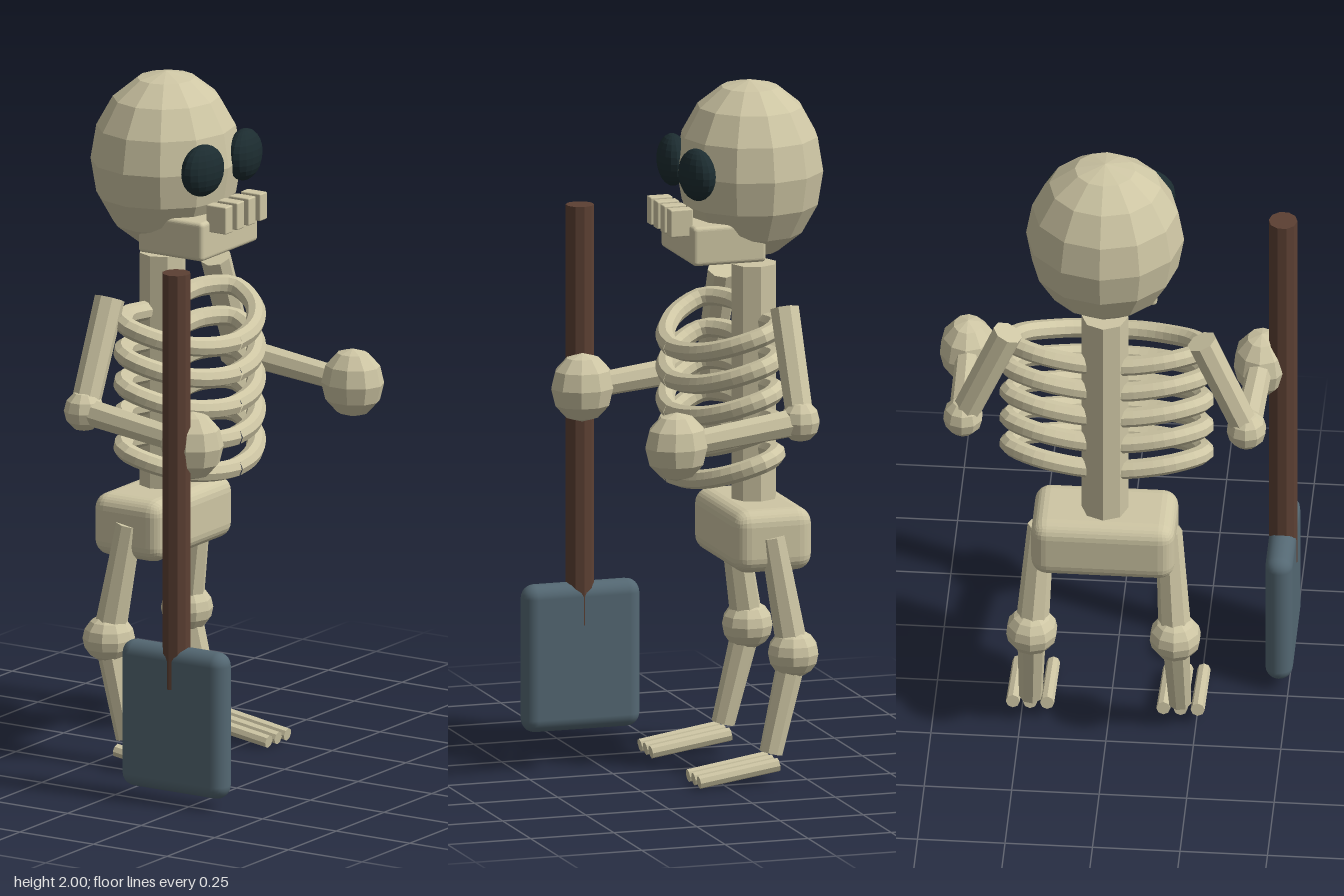
import * as THREE from 'three';
import { RoundedBoxGeometry } from 'three/addons/geometries/RoundedBoxGeometry.js';

const flat = (name, color) => {
  const m = new THREE.MeshStandardMaterial({ color, flatShading: true });
  m.name = name;
  return m;
};
const smooth = (name, color) => {
  const m = flat(name, color);
  m.flatShading = false;
  return m;
};

export function createModel() {
  const bone = flat('bone', 0xcec6a4);
  const socket = flat('dark socket', 0x1c2c30);
  const wood = flat('wood', 0x5c4033);
  const steel = smooth('steel', 0x546873);

  const model = new THREE.Group();
  model.name = 'skeletonWithShovel';
  // The body faces +x; its mirror plane sits slightly off centre
  const body = new THREE.Group();
  body.name = 'skeleton';
  body.position.z = -0.009;
  model.add(body);

  const add = (name, geo, mat, pos = [0, 0, 0], parent = body) => {
    const mesh = new THREE.Mesh(geo, mat);
    mesh.name = name;
    mesh.position.set(...pos);
    parent.add(mesh);
    return mesh;
  };
  const ball = (name, pos, [rx, ry, rz], seg = 10, rows = 6, mat = bone) =>
    add(name, new THREE.SphereGeometry(1, seg, rows).scale(rx, ry, rz), mat, pos);
  const box = (name, [w, h, d], r, pos, mat = bone, parent = body) =>
    add(name, new RoundedBoxGeometry(w, h, d, 3, r), mat, pos, parent);
  // Tapered cylinder running from a to b
  const limb = (name, a, b, ra, rb, sides = 8) => {
    const A = new THREE.Vector3(...a), B = new THREE.Vector3(...b);
    const dir = B.clone().sub(A);
    const mesh = add(name, new THREE.CylinderGeometry(rb, ra, dir.length(), sides), bone,
      A.clone().add(B).multiplyScalar(0.5).toArray());
    mesh.quaternion.setFromUnitVectors(new THREE.Vector3(0, 1, 0), dir.normalize());
    return mesh;
  };

  // Head
  ball('skull', [-0.158, 1.742, 0], [0.212, 0.258, 0.226], 12, 8);
  box('jaw', [0.22, 0.114, 0.296], 0.012, [-0.05, 1.554, 0]);
  for (let i = 0; i < 4; i++)
    box('tooth', [0.067, 0.08, 0.038], 0.004, [0.082, 1.618, (i - 1.5) * 0.06]);

  // Trunk
  limb('spine', [-0.17, 0.65, 0], [-0.17, 1.465, 0], 0.067, 0.067);
  box('pelvis', [0.235, 0.182, 0.41], 0.045, [-0.168, 0.69, 0]);

  for (const s of [1, -1]) {
    const side = s > 0 ? 'right' : 'left';
    const z = (v) => v * s;

    const eye = ball(side + 'Eye', [0.037, 1.757, z(0.109)], [0.045, 0.075, 0.079], 16, 12, socket);
    eye.rotation.y = -0.15 * s;

    // Ribs sweep from the spine round to the breast
    for (let i = 0; i < 5; i++) {
      const path = new THREE.CatmullRomCurve3([
        [0.073, 1.232, 0], [0.066, 1.238, 0.08], [0.035, 1.252, 0.17], [-0.025, 1.28, 0.25],
        [-0.11, 1.312, 0.278], [-0.17, 1.318, 0.2], [-0.188, 1.305, 0.09], [-0.185, 1.295, 0],
      ].map(([px, py, pz]) => new THREE.Vector3(px, py - i * 0.0925, z(pz))));
      add(side + 'Rib' + (i + 1), new THREE.TubeGeometry(path, 24, 0.028, 8), bone);
    }

    // Arm
    const elbow = [-0.174, 1.085, z(0.405)];
    limb(side + 'UpperArm', [-0.17, 1.388, z(0.277)], elbow, 0.044, 0.042);
    ball(side + 'Elbow', elbow, [0.058, 0.06, 0.058]);
    limb(side + 'Forearm', elbow, [0.2, 1.04, z(0.418)], 0.041, 0.035);
    ball(side + 'Hand', [0.203, 1.04, z(0.42)], [0.094, 0.1, 0.082]);

    // Leg
    const knee = [-0.22, 0.365, z(0.205)];
    limb(side + 'Thigh', [-0.165, 0.703, z(0.183)], knee, 0.038, 0.048);
    ball(side + 'Knee', knee, [0.075, 0.07, 0.075], 10, 8);
    limb(side + 'Shin', knee, [-0.15, 0.08, z(0.213)], 0.042, 0.034);
    for (const t of [-1, 0, 1])
      limb(side + 'Toe', [-0.155, 0.056, z(0.215 + t * 0.049)], [0.083, 0.02, z(0.215 + t * 0.049)],
        0.02, 0.019);
  }

  // Shovel
  const shovel = new THREE.Group();
  shovel.name = 'shovel';
  model.add(shovel);
  add('handle', new THREE.CylinderGeometry(0.041, 0.041, 1.22, 10), wood, [0.19, 0.95, 0.473], shovel);
  box('blade', [0.352, 0.43, 0.079], 0.039, [0.19, 0.246, 0.472], steel, shovel);

  return model;
}
